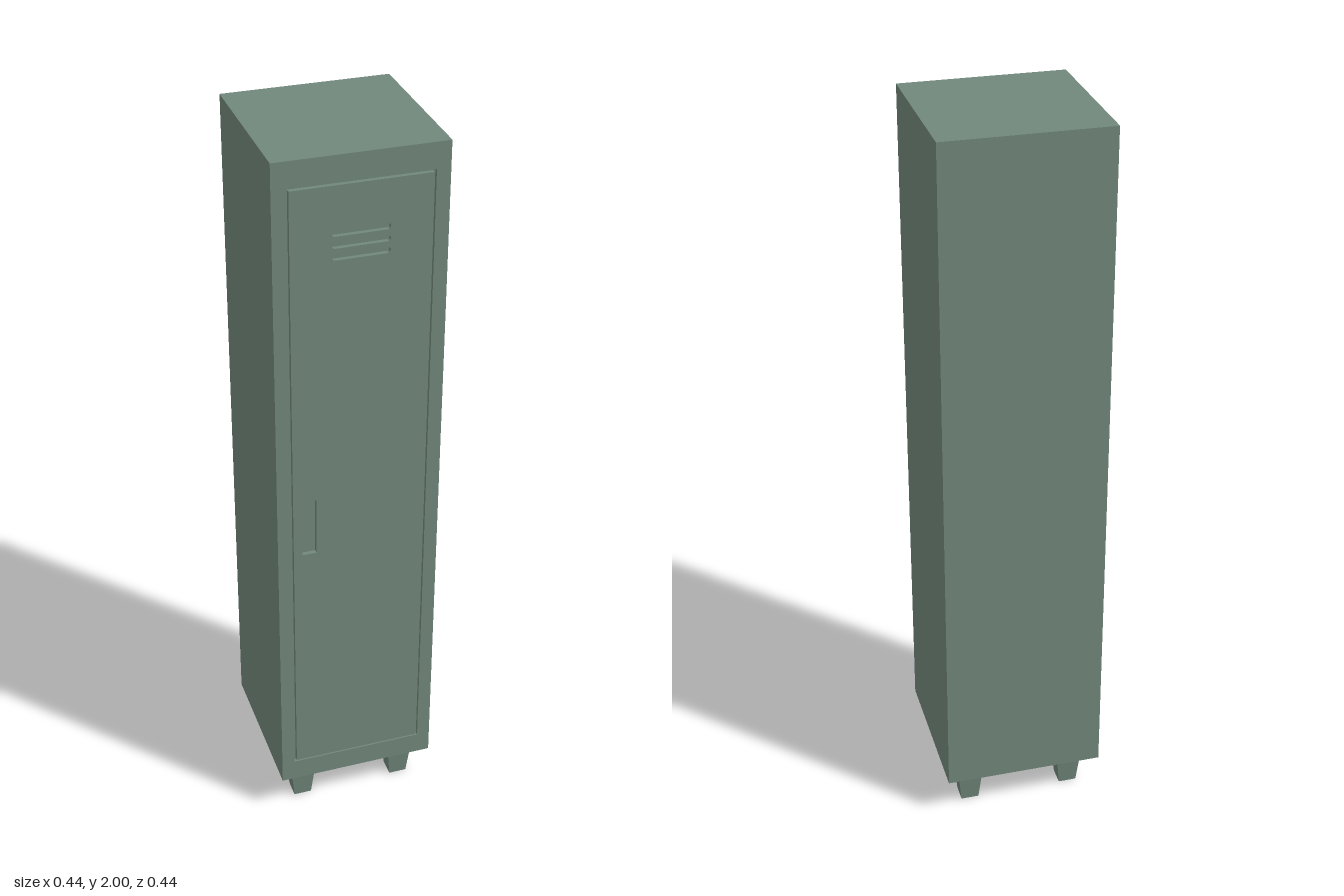
import * as THREE from 'three';

const paint = new THREE.MeshStandardMaterial({ color: 0x72887c, flatShading: true });

// Traces a rectangle on a Shape or Path
function rect(path, x0, y0, x1, y1) {
  path.moveTo(x0, y0);
  path.lineTo(x1, y0);
  path.lineTo(x1, y1);
  path.lineTo(x0, y1);
  path.closePath();
  return path;
}

// Horizontal slot with rounded ends
function slot(y, halfWidth, r) {
  const p = new THREE.Path();
  p.moveTo(-halfWidth + r, y - r);
  p.lineTo(halfWidth - r, y - r);
  p.absarc(halfWidth - r, y, r, -Math.PI / 2, Math.PI / 2, false);
  p.lineTo(-halfWidth + r, y + r);
  p.absarc(-halfWidth + r, y, r, Math.PI / 2, Math.PI * 1.5, false);
  return p;
}

export function createModel() {
  const group = new THREE.Group();
  const add = (name, geometry, x = 0, y = 0, z = 0) => {
    const mesh = new THREE.Mesh(geometry, paint);
    mesh.name = name;
    mesh.position.set(x, y, z);
    group.add(mesh);
    return mesh;
  };
  const extrude = (shape, depth) =>
    new THREE.ExtrudeGeometry(shape, { depth, bevelEnabled: false, curveSegments: 6 });

  const W = 0.22, bottom = 0.115, top = 2;
  const back = -0.222, inner = 0.208, front = 0.218;

  // Cabinet body
  add('body', new THREE.BoxGeometry(W * 2, top - bottom, inner - back),
    0, (top + bottom) / 2, (inner + back) / 2);

  // Frame around the door opening
  const frame = rect(new THREE.Shape(), -W, bottom, W, top);
  frame.holes.push(rect(new THREE.Path(), -0.184, 0.178, 0.184, 1.932));
  add('doorFrame', extrude(frame, front - inner), 0, 0, inner);

  // Door with a recessed grip and vent slots
  const door = rect(new THREE.Shape(), -0.178, 0.184, 0.178, 1.926);
  door.holes.push(rect(new THREE.Path(), -0.154, 0.895, -0.116, 1.06));
  for (const y of [1.742, 1.773, 1.804]) door.holes.push(slot(y, 0.073, 0.008));
  add('door', extrude(door, 0.22 - inner), 0, 0, inner);

  // Four tapered square feet
  const foot = new THREE.CylinderGeometry(0.037 * Math.SQRT2, 0.025 * Math.SQRT2, bottom, 4);
  foot.rotateY(Math.PI / 4);
  for (const x of [-0.146, 0.146])
    for (const z of [-0.139, 0.141]) add('foot', foot, x, bottom / 2, z);

  return group;
}
